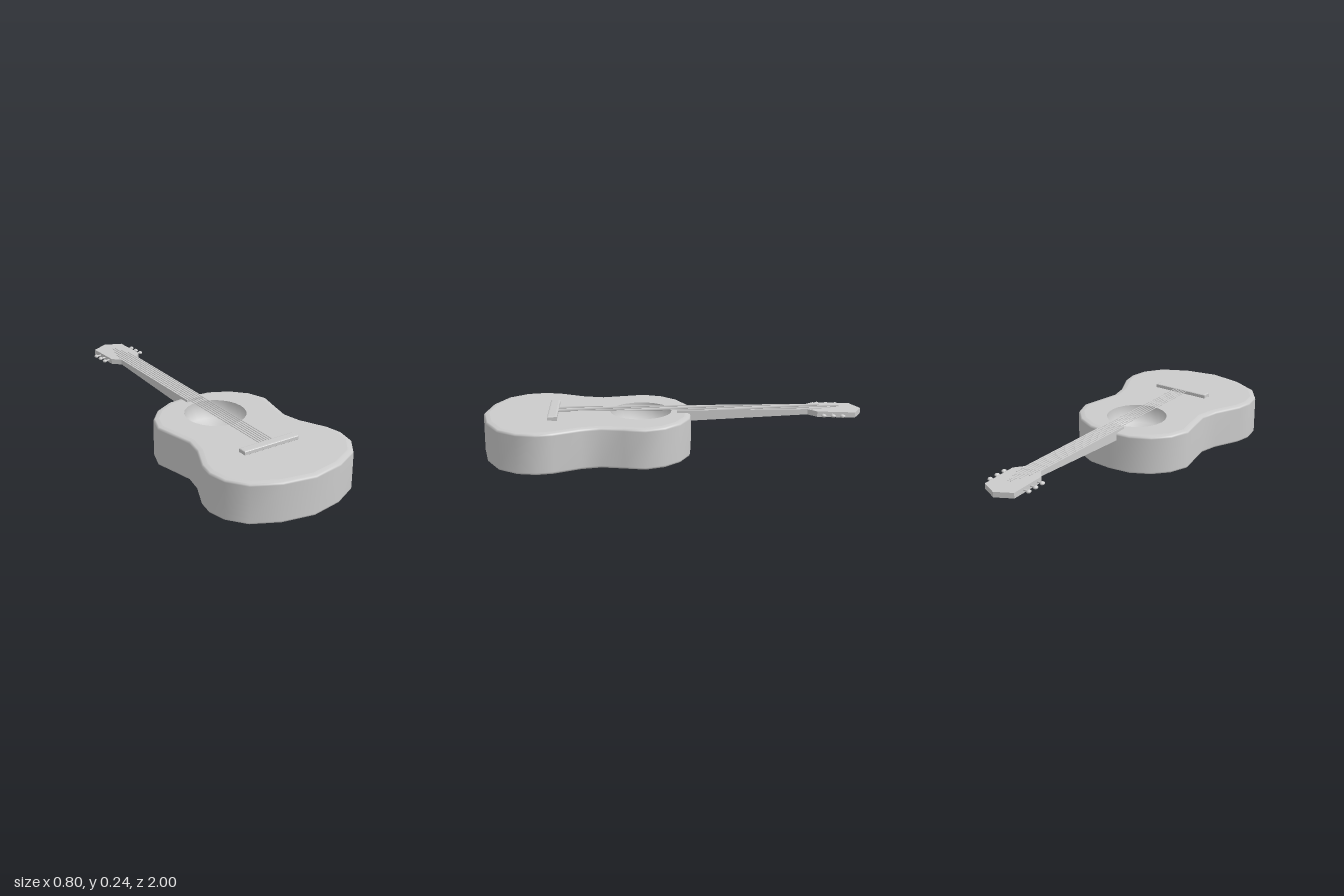
import * as THREE from 'three';

const material = new THREE.MeshStandardMaterial({ color: 0xcccccc });

// right half of the body outline as [x, z], neck end to tail end
const HALF = [
  [0, -0.095], [0.125, -0.083], [0.23, -0.03], [0.303, 0.05], [0.34, 0.152],
  [0.318, 0.26], [0.296, 0.375], [0.318, 0.475], [0.384, 0.615], [0.4, 0.7],
  [0.381, 0.8], [0.31, 0.898], [0.172, 0.968], [0, 1],
];
const OUTLINE = [...HALF, ...HALF.slice(1, -1).reverse().map(([x, z]) => [-x, z])];
const HOLE = { z: 0.17, r: 0.162 };

function add(parent, name, geometry, x = 0, y = 0, z = 0) {
  const mesh = new THREE.Mesh(geometry, material);
  mesh.name = name;
  mesh.position.set(x, y, z);
  parent.add(mesh);
  return mesh;
}

// outline moved inwards by d
function inset(d) {
  const n = OUTLINE.length;
  return OUTLINE.map(([x, z], i) => {
    const a = OUTLINE[(i + n - 1) % n], b = OUTLINE[(i + 1) % n];
    const tx = b[0] - a[0], tz = b[1] - a[1], l = Math.hypot(tx, tz);
    return [x - (tz / l) * d, z + (tx / l) * d];
  });
}

// side wall with softly rounded rims, lofted from rings of [inset, y]
function wallGeometry() {
  const rows = [[0.03, 0], [0.009, 0.003], [0.002, 0.007], [0, 0.015],
    [0, 0.203], [0.002, 0.211], [0.009, 0.216], [0.03, 0.219]];
  const n = OUTLINE.length, pos = [], index = [];
  rows.forEach(([d, y], j) => inset(d).forEach(([x, z], i) => {
    pos.push(x, y, z);
    if (j === rows.length - 1) return;
    const a = j * n + i, b = j * n + ((i + 1) % n);
    index.push(a, a + n, b, b, a + n, b + n);
  }));
  const g = new THREE.BufferGeometry();
  g.setAttribute('position', new THREE.Float32BufferAttribute(pos, 3));
  g.setIndex(index);
  g.computeVertexNormals();
  return g;
}

function plateShape(sign) {
  return new THREE.Shape(inset(0.03).map(([x, z]) => new THREE.Vector2(x, sign * z)));
}

function buildBody() {
  const body = new THREE.Group();
  body.name = 'body';
  add(body, 'sides', wallGeometry());

  const top = plateShape(-1);
  top.holes.push(new THREE.Path().absarc(0, -HOLE.z, HOLE.r, 0, Math.PI * 2, true));
  add(body, 'soundboard', new THREE.ShapeGeometry(top, 12).rotateX(-Math.PI / 2), 0, 0.219);
  add(body, 'back', new THREE.ShapeGeometry(plateShape(1)).rotateX(Math.PI / 2));

  // recess below the sound hole
  const cup = [[HOLE.r, 0.219], [HOLE.r, 0.115], [0, 0.115]].map(p => new THREE.Vector2(...p));
  add(body, 'soundHole', new THREE.LatheGeometry(cup, 24), 0, 0, HOLE.z);

  // bridge with slightly rounded corners
  const bar = new THREE.Shape();
  const w = 0.154, h = 0.017;
  bar.moveTo(-w, -h).lineTo(w, -h).lineTo(w, h).lineTo(-w, h);
  const bridge = new THREE.ExtrudeGeometry(bar, {
    depth: 0.016, bevelSize: 0.008, bevelThickness: 0.004, bevelSegments: 2,
  }).rotateX(-Math.PI / 2);
  add(body, 'bridge', bridge, 0, 0.22, 0.63);
  return body;
}

function buildNeck() {
  const neck = new THREE.Group();
  neck.name = 'neck';
  // tapered side profile as [-z, y]
  const side = new THREE.Shape([[0.02, 0.175], [0.09, 0.176], [0.74, 0.205], [0.74, 0.232], [0.02, 0.232]]
    .map(p => new THREE.Vector2(...p)));
  const g = new THREE.ExtrudeGeometry(side, { depth: 0.1, bevelEnabled: false }).rotateY(Math.PI / 2);
  add(neck, 'neckShaft', g, -0.05);
  return neck;
}

function buildHead() {
  // leans back slightly from the end of the neck
  const head = new THREE.Group();
  head.name = 'head';
  head.position.set(0, 0.203, -0.71);
  head.rotation.x = -0.037;
  const plate = new THREE.Shape([[-0.05, 0], [0.05, 0], [0.09, 0.045], [0.09, 0.245],
    [0, 0.29], [-0.09, 0.245], [-0.09, 0.045]].map(p => new THREE.Vector2(...p)));
  add(head, 'headPlate', new THREE.ExtrudeGeometry(plate, { depth: 0.029, bevelEnabled: false })
    .rotateX(-Math.PI / 2));

  // three tuning pegs each side
  for (const s of [-1, 1]) {
    for (let i = 0; i < 3; i++) {
      const z = -0.075 - i * 0.05;
      const stem = new THREE.CylinderGeometry(0.005, 0.005, 0.035, 8).rotateZ(Math.PI / 2);
      add(head, 'pegStem', stem, s * 0.1, 0.015, z);
      const knob = new THREE.SphereGeometry(1, 12, 8).scale(0.012, 0.009, 0.014);
      add(head, 'pegKnob', knob, s * 0.119, 0.015, z);
    }
  }
  return head;
}

function buildStrings() {
  const strings = new THREE.Group();
  strings.name = 'strings';
  for (let i = 0; i < 6; i++) {
    // outer strings stop at the nearest pegs, inner ones run furthest
    const end = -0.785 - Math.min(i, 5 - i) * 0.05, start = 0.62;
    const g = new THREE.CylinderGeometry(0.0025, 0.0025, start - end, 6).rotateX(Math.PI / 2);
    add(strings, 'string', g, (i - 2.5) * 0.0155, 0.234, (start + end) / 2);
  }
  return strings;
}

export function createModel() {
  const guitar = new THREE.Group();
  guitar.name = 'guitar';
  guitar.add(buildBody(), buildNeck(), buildHead(), buildStrings());
  return guitar;
}
